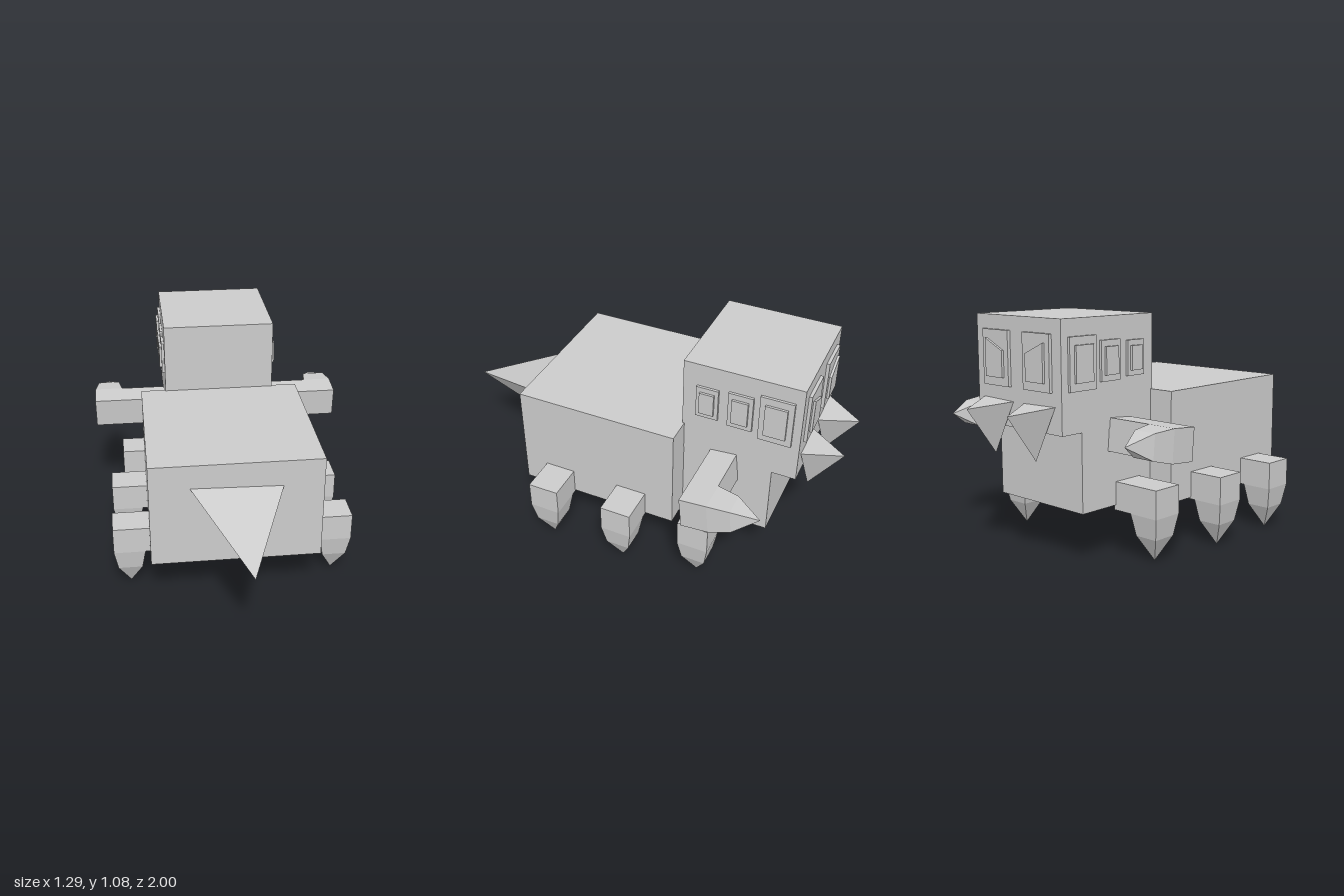
import * as THREE from 'three';

const material = new THREE.MeshStandardMaterial({ color: 0xcccccc, flatShading: true });

function add(parent, name, geometry, x = 0, y = 0, z = 0) {
  const mesh = new THREE.Mesh(geometry, material);
  mesh.name = name;
  mesh.position.set(x, y, z);
  parent.add(mesh);
  return mesh;
}

// Box given by its lower and upper limits on each axis
function block(parent, name, [x0, x1], [y0, y1], [z0, z1]) {
  const geometry = new THREE.BoxGeometry(x1 - x0, y1 - y0, z1 - z0);
  return add(parent, name, geometry, (x0 + x1) / 2, (y0 + y1) / 2, (z0 + z1) / 2);
}

// Closed spike: a, b, c counter-clockwise seen from outside the base, d the tip
function spike(parent, name, a, b, c, d) {
  const geometry = new THREE.BufferGeometry();
  const corners = [a, b, c, b, a, d, c, b, d, a, c, d].flat();
  geometry.setAttribute('position', new THREE.Float32BufferAttribute(corners, 3));
  geometry.computeVertexNormals();
  return add(parent, name, geometry);
}

// Horizontal bar ending in a square claw that tapers in two steps along -y
function limb(name, side, { reach, width, height, depth }) {
  const group = new THREE.Group();
  group.name = name;
  const length = reach + width / 2;
  add(group, 'limbBar', new THREE.BoxGeometry(length, height, depth), side * (width - length) / 2);
  const r = Math.SQRT1_2;
  const profile = [[0, -0.215], [0.77 * r, -0.1], [r, 0]].map(([px, py]) => new THREE.Vector2(px, py));
  const claw = new THREE.LatheGeometry(profile, 4, Math.PI / 4);
  claw.scale(width, 1, depth);
  add(group, 'claw', claw, 0, -height / 2, 0);
  return group;
}

// Raised eye: a plate with a smaller pupil, lying in the xy plane and facing +z;
// drop lowers one upper corner of the pupil (+x if positive, -x if negative)
function eye(parent, name, w, h, drop = 0) {
  const group = new THREE.Group();
  group.name = name;
  block(group, 'eyePlate', [-w / 2, w / 2], [-h / 2, h / 2], [-0.01, 0.015]);
  const px = w * 0.33, py = h * 0.345;
  const shape = new THREE.Shape([
    new THREE.Vector2(-px, -py), new THREE.Vector2(px, -py),
    new THREE.Vector2(px, py - Math.max(drop, 0)), new THREE.Vector2(-px, py + Math.min(drop, 0)),
  ]);
  add(group, 'pupil', new THREE.ExtrudeGeometry(shape, { depth: 0.016, bevelEnabled: false }), 0, 0, 0.01);
  parent.add(group);
  return group;
}

export function createModel() {
  const model = new THREE.Group();
  model.name = 'blockSpider';

  // Body, with the head towards -z
  block(model, 'abdomen', [-0.4, 0.4], [0.222, 0.737], [-0.285, 0.51]);
  block(model, 'thorax', [-0.272, 0.272], [0.238, 0.6], [-0.712, -0.28]);
  block(model, 'head', [-0.275, 0.275], [0.595, 1.08], [-0.825, -0.275]);

  // Stinger at the rear
  spike(model, 'stinger', [-0.214, 0.62, 0.51], [0.212, 0.61, 0.51], [0, 0.252, 0.51], [0.015, 0.47, 1]);

  for (const side of [1, -1]) {
    const label = side > 0 ? 'left' : 'right';

    // Three legs on each side
    const legs = [['Rear', 0.498, 0.317], ['Middle', 0.498, -0.068], ['Front', 0.437, -0.435]];
    for (const [place, x, z] of legs) {
      const leg = limb(label + place + 'Leg', side, { reach: 0.173, width: 0.15, height: 0.13, depth: 0.15 });
      leg.position.set(side * x, 0.28, z);
      model.add(leg);
    }

    // Forward-pointing pincer arm, tilted slightly upwards
    const arm = limb(label + 'Arm', side, { reach: 0.35, width: 0.143, height: 0.127, depth: 0.148 });
    arm.position.set(side * 0.572, 0.559, -0.487);
    arm.rotation.x = THREE.MathUtils.degToRad(95);
    model.add(arm);

    // Fang below the front eye
    const outer = [side * 0.235, 0.713, -0.825], inner = [side * 0.035, 0.708, -0.825];
    const front = [side * 0.135, 0.685, -1], tip = [side * 0.135, 0.472, -0.85];
    const [a, b] = side > 0 ? [inner, outer] : [outer, inner];
    spike(model, label + 'Fang', a, b, front, tip);

    // Front eye, its pupil sloping down towards the middle
    const frontEye = eye(model, label + 'FrontEye', 0.17, 0.245, side * 0.05);
    frontEye.position.set(side * 0.133, 0.894, -0.825);
    frontEye.rotation.y = Math.PI;

    // Row of side eyes, shrinking towards the back
    const sideEyes = [[-0.711, 0.89, 0.153, 0.23], [-0.548, 0.89, 0.115, 0.178], [-0.393, 0.89, 0.104, 0.158]];
    sideEyes.forEach(([z, y, w, h], i) => {
      const sideEye = eye(model, label + 'SideEye' + (i + 1), w, h);
      sideEye.position.set(side * 0.272, y, z);
      sideEye.rotation.y = side * Math.PI / 2;
    });
  }
  return model;
}
